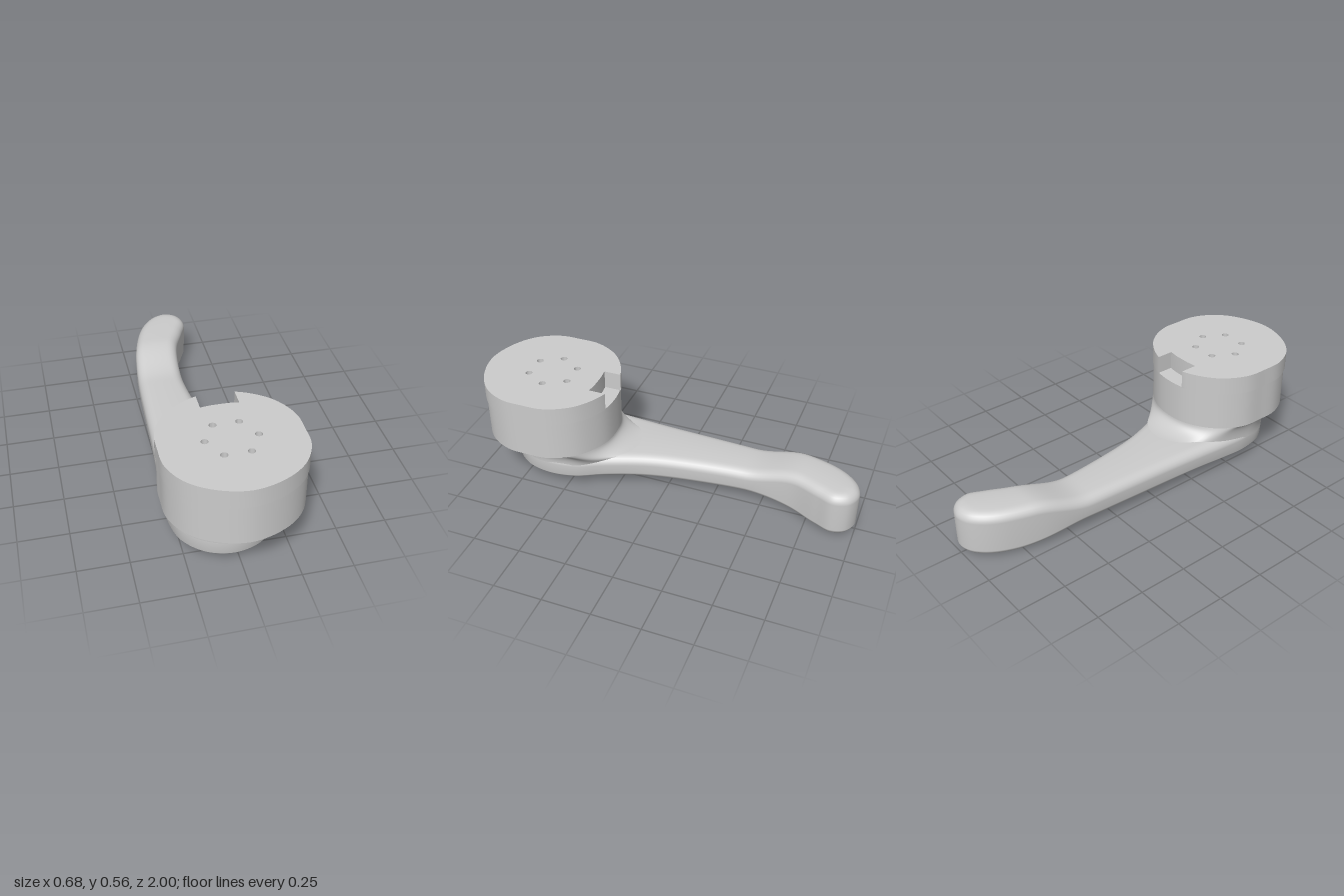
import * as THREE from 'three';
import { mergeVertices, toCreasedNormals } from 'three/addons/utils/BufferGeometryUtils.js';

const material = new THREE.MeshStandardMaterial({ color: 0xcccccc });
const { lerp, smoothstep } = THREE.MathUtils;
const HUB_Z = 0.645;

// Closed smooth curve in plan from [x, z] points
const planCurve = (pts) =>
  new THREE.CatmullRomCurve3(pts.map(([x, z]) => new THREE.Vector3(x, 0, z)), true);

// Skin a list of closed rings of [x, y, z] points
function loft(rings) {
  const n = rings[0].length, index = [];
  for (let j = 0; j < rings.length - 1; j++) {
    for (let i = 0; i < n; i++) {
      const k = (i + 1) % n, a = j * n, b = a + n;
      index.push(a + i, b + i, b + k, a + i, b + k, a + k);
    }
  }
  const g = new THREE.BufferGeometry();
  g.setAttribute('position', new THREE.Float32BufferAttribute(rings.flat(2), 3));
  g.setIndex(index);
  const merged = mergeVertices(g, 1e-5);
  merged.computeVertexNormals();
  return merged;
}

// Extrude a plan outline upwards from y0 to y1
function slab(points, y0, y1, holes = []) {
  const shape = new THREE.Shape(points.map(([x, z]) => new THREE.Vector2(x, -z)));
  for (const [x, z, r] of holes) {
    shape.holes.push(new THREE.Path().absarc(x, -z, r, 0, Math.PI * 2, true));
  }
  const g = new THREE.ExtrudeGeometry(shape, { depth: y1 - y0, bevelEnabled: false, curveSegments: 8 });
  g.rotateX(-Math.PI / 2).translate(0, y0, 0);
  return toCreasedNormals(g, 0.5);
}

// Lobed hub outline, front -> +x -> back -> -x
function hubOutline() {
  const half = [[0, 1], [0.1, 0.983], [0.2, 0.938], [0.27, 0.88], [0.312, 0.815], [0.336, 0.745],
    [0.339, 0.65], [0.335, 0.55], [0.302, 0.465], [0.25, 0.395], [0.17, 0.337], [0.09, 0.304], [0, 0.295]];
  const other = half.slice(1, -1).reverse().map(([x, z]) => [-x, z]);
  return planCurve([...half, ...other]).getPoints(96).slice(0, -1).map((p) => [p.x, p.z]);
}

// Cap outline with a notch cut in its back edge
function notchedOutline(outline) {
  const out = [];
  let cut = false;
  for (const [x, z] of outline) {
    if (z < HUB_Z && x < 0.1 && x > -0.088) {
      if (!cut) out.push([0.1, 0.307], [0.1, 0.394], [0.05, 0.387], [-0.035, 0.387], [-0.088, 0.393], [-0.088, 0.304]);
      cut = true;
    } else out.push([x, z]);
  }
  return out;
}

// Concave flare blending the hub into the arm
function flareGeometry(outline) {
  const rings = [], steps = 12;
  for (let j = 0; j <= steps; j++) {
    const a = (j / steps) * Math.PI / 2;
    rings.push(outline.map(([x, z]) => {
      const ang = Math.atan2(z - HUB_Z, x);
      const s = Math.sin(ang);
      const nx = -0.033 + 0.262 * Math.cos(ang);
      const nz = 0.6 + s * (s > 0 ? 0.27 : 0.42);
      const back = 1 - smoothstep(nz, 0.2, 0.5);
      const f = lerp(1 - Math.sin(a), Math.cos(a), back);
      const drop = lerp(1 - Math.cos(a), Math.sin(a), back);
      return [lerp(nx, x, f), 0.26 - drop * lerp(0.115, 0.062, back), lerp(nz, z, f)];
    }));
  }
  return loft(rings);
}

// Arm: paired edge points from the round head to the hooked grip
function armGeometry() {
  const right = [[0.098, 0.834], [0.194, 0.735], [0.229, 0.6], [0.213, 0.45], [0.15, 0.31], [0.068, 0.08],
    [0.02, -0.2], [0, -0.45], [0.018, -0.66], [0.075, -0.8], [0.108, -0.89], [0.082, -0.965]];
  const left = [[-0.164, 0.834], [-0.26, 0.735], [-0.295, 0.6], [-0.294, 0.45], [-0.284, 0.3], [-0.27, 0.08],
    [-0.258, -0.2], [-0.245, -0.45], [-0.22, -0.66], [-0.16, -0.86], [-0.105, -0.945], [-0.05, -0.988]];
  const curve = planCurve([[-0.033, 0.87], ...right, [0.015, -1], ...left.reverse()]);

  const top = (z) => 0.26 - 0.062 * smoothstep(z, -0.7, -0.4) - 0.006 * smoothstep(z, -0.85, -0.5);
  const bottom = (z) => 0.01 + 0.042 * smoothstep(z, -0.8, -0.4) - 0.012 * smoothstep(z, 0.2, 0.65);
  const rim = 6, across = 8, stations = 26 * 4;
  const rings = [];

  for (let i = 0; i <= stations; i++) {
    const t = (i / stations) * 0.5;
    // Rounded rim from underside (k = -rim) to top (k = rim)
    const edge = (u) => {
      const p = curve.getPoint(u), d = curve.getTangent(u), pts = [];
      const head = smoothstep(p.z, 0, 0.5);
      for (let k = -rim; k <= rim; k++) {
        const phi = (k / rim) * Math.PI / 2;
        const inset = (k < 0 ? lerp(0.055, 0.1, head) : 0.055) * (1 - Math.cos(phi));
        const x = p.x + d.z * inset, z = p.z - d.x * inset;
        const y = k < 0 ? bottom(z) + 0.052 * (1 + Math.sin(phi)) : top(z) - 0.05 * (1 - Math.sin(phi));
        pts.push([x, y, z]);
      }
      return pts;
    };
    const R = edge(t), L = edge((1 - t) % 1).reverse();
    // Slightly crowned span between the two rims
    const span = (a, b, crown) => {
      const width = Math.min(1, Math.hypot(a[0] - b[0], a[2] - b[2]) / 0.25);
      return Array.from({ length: across - 1 }, (_, n) => {
        const s = (n + 1) / across;
        const p = a.map((v, c) => lerp(v, b[c], s));
        p[1] += crown * width * 4 * s * (1 - s);
        return p;
      });
    };
    const last = R.length - 1;
    rings.push([...R, ...span(R[last], L[0], 0.005), ...L, ...span(L[last], R[0], -0.012)]);
  }
  return loft(rings);
}

export function createModel() {
  const group = new THREE.Group();
  const add = (name, geometry) => {
    const mesh = new THREE.Mesh(geometry, material);
    mesh.name = name;
    group.add(mesh);
  };
  const outline = hubOutline();
  const body = outline.map(([x, z]) => [x * 0.985, HUB_Z + (z - HUB_Z) * 0.985]);
  const holes = Array.from({ length: 6 }, (_, i) => {
    const a = (i * Math.PI) / 3;
    return [0.125 * Math.cos(a), 0.643 + 0.125 * Math.sin(a), 0.018];
  });

  add('hubCap', slab(notchedOutline(outline), 0.47, 0.566, holes));
  add('hubBody', slab(body, 0.26, 0.47));
  add('flare', flareGeometry(body));
  add('crankArm', armGeometry());

  // Stand the model on the ground
  const box = new THREE.Box3().setFromObject(group);
  group.children.forEach((m) => m.geometry.translate(0, -box.min.y, 0));
  return group;
}
